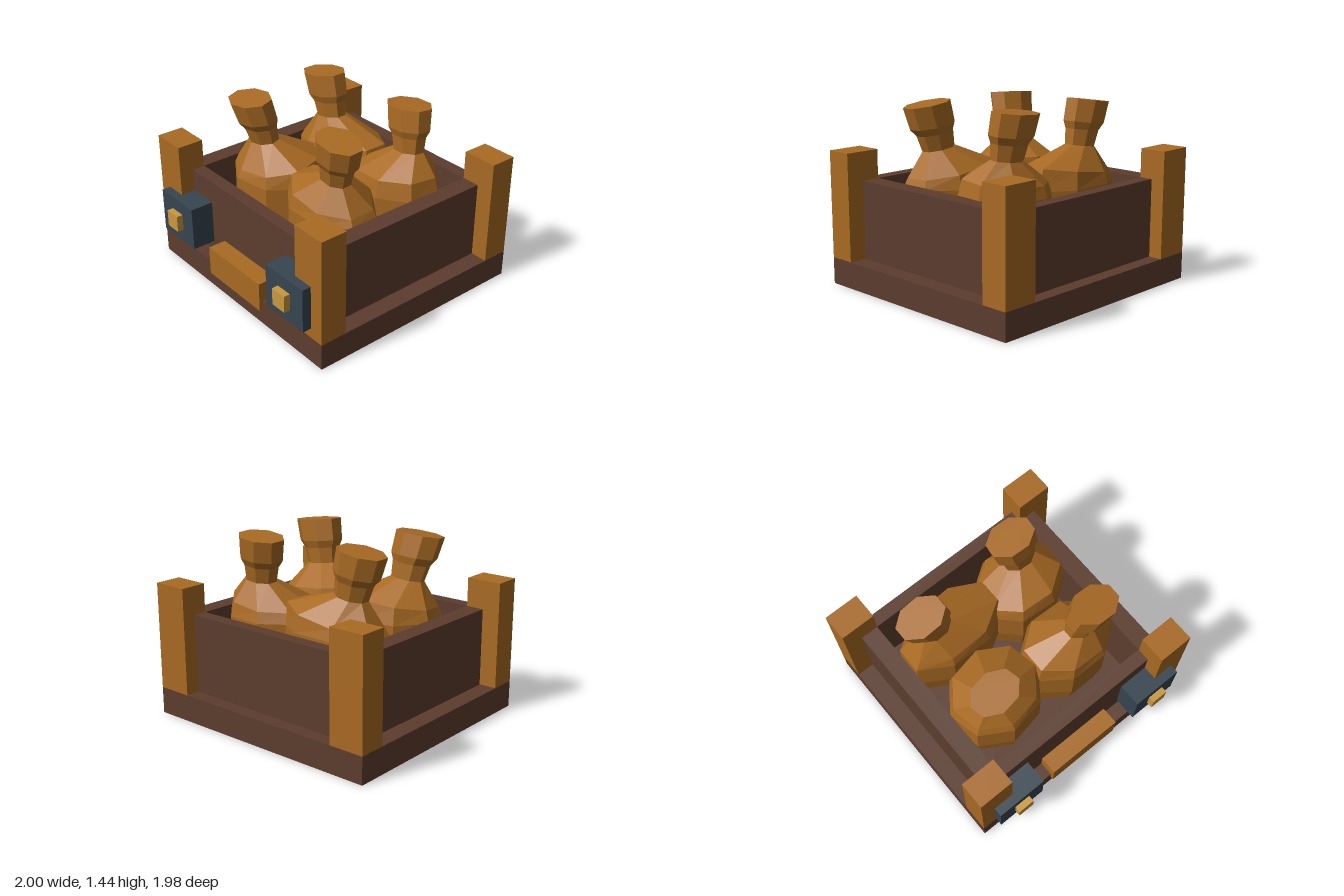
import * as THREE from 'three';

const mat = (name, color) => {
  const m = new THREE.MeshStandardMaterial({ color });
  m.name = name;
  return m;
};

// Sack cross-sections: height, width factor, and whether the body or neck size applies.
// lean: 0 = body centre, 1 = neck centre, 2 = top centre
const SACK_RINGS = [
  { y: 0.21, r: 0.85, lean: 0 },
  { y: 0.5, r: 1.0, lean: 0 },
  { y: 0.8, r: 1.0, lean: 0 },
  { y: 0.91, r: 0.91, lean: 0.05, tilt: 1 },
  { y: 1.07, neck: 0.69, lean: 1, tilt: 1 },
  { y: 1.19, neck: 0.78, lean: 1.3, tilt: 1 },
  { y: 1.245, neck: 0.95, lean: 1.5, tilt: 1 },
  { y: 1.412, neck: 1.0, lean: 2, tilt: 1 },
];

// Lofts an eight-sided leaning sack with a tied neck
function sackGeometry({ body, size, neck, top, phase }) {
  const N = 8, pos = [], index = [];
  const mix = (t, k) => t <= 1
    ? body[k] + (neck[k] - body[k]) * t
    : neck[k] + (top[k] - neck[k]) * (t - 1);
  const slope = [0, 1].map((k) => (top[k] - neck[k]) * 1.5);
  for (const ring of SACK_RINGS) {
    const rx = ring.neck ? 0.2 * ring.neck : size[0] * ring.r;
    const rz = ring.neck ? 0.15 * ring.neck : size[1] * ring.r;
    for (let i = 0; i < N; i++) {
      const a = phase + (i / N) * Math.PI * 2;
      const dx = rx * Math.cos(a), dz = rz * Math.sin(a);
      const drop = ring.tilt ? dx * slope[0] + dz * slope[1] : 0;
      pos.push(mix(ring.lean, 0) + dx, ring.y - drop, mix(ring.lean, 1) + dz);
    }
  }
  const last = (SACK_RINGS.length - 1) * N;
  for (let s = 0; s < last; s += N) {
    for (let i = 0; i < N; i++) {
      const j = (i + 1) % N;
      index.push(s + i, s + N + i, s + j, s + j, s + N + i, s + N + j);
    }
  }
  for (let i = 1; i < N - 1; i++) {
    index.push(0, i, i + 1);
    index.push(last, last + i + 1, last + i);
  }
  const g = new THREE.BufferGeometry();
  g.setAttribute('position', new THREE.Float32BufferAttribute(pos, 3));
  g.setIndex(index);
  const flat = g.toNonIndexed();
  flat.computeVertexNormals();
  return flat;
}

export function createModel() {
  const group = new THREE.Group();
  const darkWood = mat('dark wood', 0x5c3d2e);
  const tan = mat('tan', 0xa86a23);
  const slate = mat('slate', 0x36454f);
  const brass = mat('brass', 0xc9983f);

  const add = (name, geometry, material) => {
    const m = new THREE.Mesh(geometry, material);
    m.name = name;
    group.add(m);
    return m;
  };
  // Box from its minimum and maximum on each axis
  const box = (name, material, [x0, x1], [y0, y1], [z0, z1]) =>
    add(name, new THREE.BoxGeometry(x1 - x0, y1 - y0, z1 - z0), material)
      .position.set((x0 + x1) / 2, (y0 + y1) / 2, (z0 + z1) / 2);

  // Base and walls of the crate
  const wallY = [0.21, 0.825];
  box('base', darkWood, [-1, 1], [0, 0.21], [-0.99, 0.865]);
  box('frontWall', darkWood, [-0.715, 0.715], wallY, [0.645, 0.75]);
  box('backWall', darkWood, [-0.715, 0.715], wallY, [-0.88, -0.775]);
  box('frontBar', tan, [-0.32, 0.32], [0.13, 0.365], [0.75, 0.895]);

  // Mirrored side walls, corner posts, lock plates and knobs
  for (const [side, s] of [['left', 1], ['right', -1]]) {
    const span = (a, b) => (s > 0 ? [a, b] : [-b, -a]);
    box(side + 'Wall', darkWood, span(0.715, 0.86), wallY, [-0.775, 0.645]);
    box(side + 'FrontPost', tan, span(0.715, 1), [0.21, 1.05], [0.65, 0.865]);
    box(side + 'BackPost', tan, span(0.715, 1), [0.21, 1.05], [-0.99, -0.775]);
    box(side + 'Plate', slate, span(0.47, 0.885), [0.29, 0.64], [0.75, 0.937]);
    box(side + 'Knob', brass, span(0.61, 0.745), [0.4, 0.535], [0.93, 0.988]);
  }

  // Four sacks leaning in different directions
  const eighth = Math.PI / 8;
  const sacks = {
    backRightSack: { body: [-0.27, -0.41], size: [0.46, 0.277], neck: [-0.42, -0.405], top: [-0.515, -0.405], phase: eighth },
    backLeftSack: { body: [0.37, -0.38], size: [0.385, 0.32], neck: [0.43, -0.45], top: [0.38, -0.49], phase: -0.3 },
    frontRightSack: { body: [-0.34, 0.2], size: [0.385, 0.34], neck: [-0.41, 0.28], top: [-0.46, 0.365], phase: 0.2 },
    frontLeftSack: { body: [0.34, 0.23], size: [0.405, 0.3], neck: [0.43, 0.27], top: [0.51, 0.305], phase: eighth },
  };
  for (const [name, spec] of Object.entries(sacks)) add(name, sackGeometry(spec), tan);

  return group;
}
